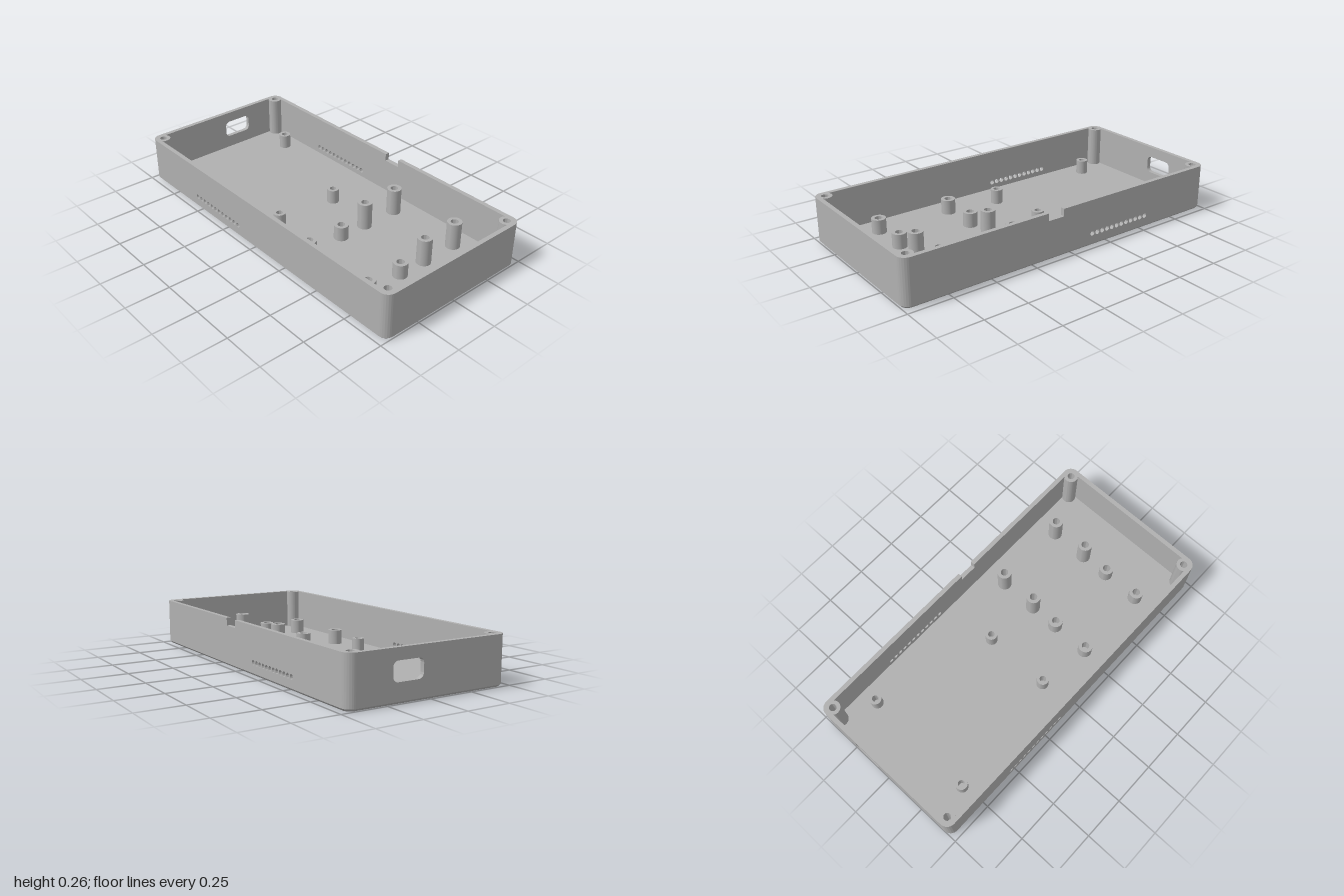
import * as THREE from 'three';
import { toCreasedNormals } from 'three/addons/utils/BufferGeometryUtils.js';

const W = 1, D = 0.47, H = 0.264;          // half width, half depth, height
const R = 0.05, T = 0.025;                 // corner radius, wall thickness
const BASE = 0.012, FLOOR = 0.03;          // chamfered base and floor levels

const casing = new THREE.MeshStandardMaterial({ color: 0xb0b0b0 });
casing.name = 'casing grey';

function roundedRect(hw, hd, r, Type = THREE.Shape, cx = 0, cy = 0) {
  const s = new Type();
  const q = Math.PI / 2;
  s.absarc(cx + hw - r, cy + hd - r, r, 0, q);
  s.absarc(cx - hw + r, cy + hd - r, r, q, 2 * q);
  s.absarc(cx - hw + r, cy - hd + r, r, 2 * q, 3 * q);
  s.absarc(cx + hw - r, cy - hd + r, r, 3 * q, 4 * q);
  s.closePath();
  return s;
}

function circle(x, y, r, Type = THREE.Path) {
  return new Type().absarc(x, y, r, 0, Math.PI * 2);
}

function extrude(shape, depth) {
  return new THREE.ExtrudeGeometry(shape, { depth, bevelEnabled: false, curveSegments: 16 });
}

// Extrude a plan outline upward between two heights
function rise(shape, y0, y1) {
  return extrude(shape, y1 - y0).rotateX(-Math.PI / 2).translate(0, y0, 0);
}

// Band joining two plan outlines with the same number of points
function band(lower, y0, upper, y1) {
  const pos = [], index = [], n = lower.length;
  for (let i = 0; i < n; i++) {
    pos.push(lower[i].x, y0, -lower[i].y, upper[i].x, y1, -upper[i].y);
    const a = 2 * i, b = 2 * ((i + 1) % n);
    index.push(a, b, b + 1, a, b + 1, a + 1);
  }
  const g = new THREE.BufferGeometry();
  g.setAttribute('position', new THREE.Float32BufferAttribute(pos, 3));
  g.setIndex(index);
  return g;
}

// Upright panel outline, with an optional notch in its top edge
function panel(half, notch) {
  const s = new THREE.Shape();
  s.moveTo(-half, FLOOR);
  s.lineTo(half, FLOOR);
  s.lineTo(half, H);
  if (notch) {
    s.lineTo(notch.x1, H);
    s.lineTo(notch.x1, H - notch.depth);
    s.lineTo(notch.x0, H - notch.depth);
    s.lineTo(notch.x0, H);
  }
  s.lineTo(-half, H);
  s.closePath();
  return s;
}

function addVents(shape) {
  for (let i = 0; i < 12; i++) shape.holes.push(circle(-0.53 + i * 0.035, 0.07, 0.0138));
}

export function createModel() {
  const model = new THREE.Group();
  model.name = 'openEnclosure';

  function add(name, geometry, x = 0, y = 0, z = 0) {
    const mesh = new THREE.Mesh(toCreasedNormals(geometry, 0.6), casing);
    mesh.name = name;
    mesh.position.set(x, y, z);
    model.add(mesh);
    return mesh;
  }

  // Underside with four round foot recesses
  const underside = roundedRect(W - BASE, D - BASE, R - BASE);
  for (const sx of [-1, 1])
    for (const sz of [-1, 1]) underside.holes.push(circle(sx * 0.875, sz * 0.34, 0.076));
  add('underside', rise(underside, 0, BASE));

  // Chamfer around the base
  const lower = roundedRect(W - BASE, D - BASE, R - BASE).getPoints(16);
  const upper = roundedRect(W, D, R).getPoints(16);
  add('baseChamfer', band(lower, 0, upper, BASE));

  // Floor slab
  add('floor', rise(roundedRect(W, D, R), BASE, FLOOR));

  // Long walls with vent rows; the back one has a cable notch
  const front = panel(W - R);
  addVents(front);
  add('frontWall', extrude(front, T), 0, 0, D - T);
  const back = panel(W - R, { x0: 0.055, x1: 0.155, depth: 0.042 });
  addVents(back);
  add('backWall', extrude(back, T), 0, 0, -D);

  // Short walls; the right one has a rounded socket opening
  add('leftWall', extrude(panel(D - R), T).rotateY(-Math.PI / 2), W);
  const right = panel(D - R);
  right.holes.push(roundedRect(0.088, 0.05, 0.028, THREE.Path, -0.133, 0.153));
  add('rightWall', extrude(right, T).rotateY(-Math.PI / 2), -W + T);

  // Rounded corners, each with a screw pillar
  const corner = new THREE.Shape();
  corner.absarc(0, 0, R, 0, Math.PI / 2);
  corner.absarc(0, 0, 0.04, Math.PI / 2, Math.PI * 2);
  corner.closePath();
  corner.holes.push(circle(0, 0, 0.02));
  [[1, -1], [-1, -1], [-1, 1], [1, 1]].forEach(([sx, sz], k) => {
    add('cornerPillar', rise(corner, FLOOR, H).rotateY(k * Math.PI / 2),
      sx * (W - R), 0, sz * (D - R));
  });

  // Hollow board standoffs
  function standoff(x, z, r, bore, top) {
    const s = circle(0, 0, r, THREE.Shape);
    s.holes.push(circle(0, 0, bore));
    add('standoff', rise(s, FLOOR, top), x, 0, z);
  }
  for (const [x, z] of [[-0.75, -0.34], [-0.767, 0.33], [-0.045, -0.13], [-0.045, 0.26]])
    standoff(x, z, 0.034, 0.018, 0.113);
  for (const x of [0.262, 0.706])
    for (const [z, top] of [[-0.313, 0.183], [-0.09, 0.183], [0.082, 0.113], [0.305, 0.113]])
      standoff(x, z, 0.04, 0.021, top);

  return model;
}
